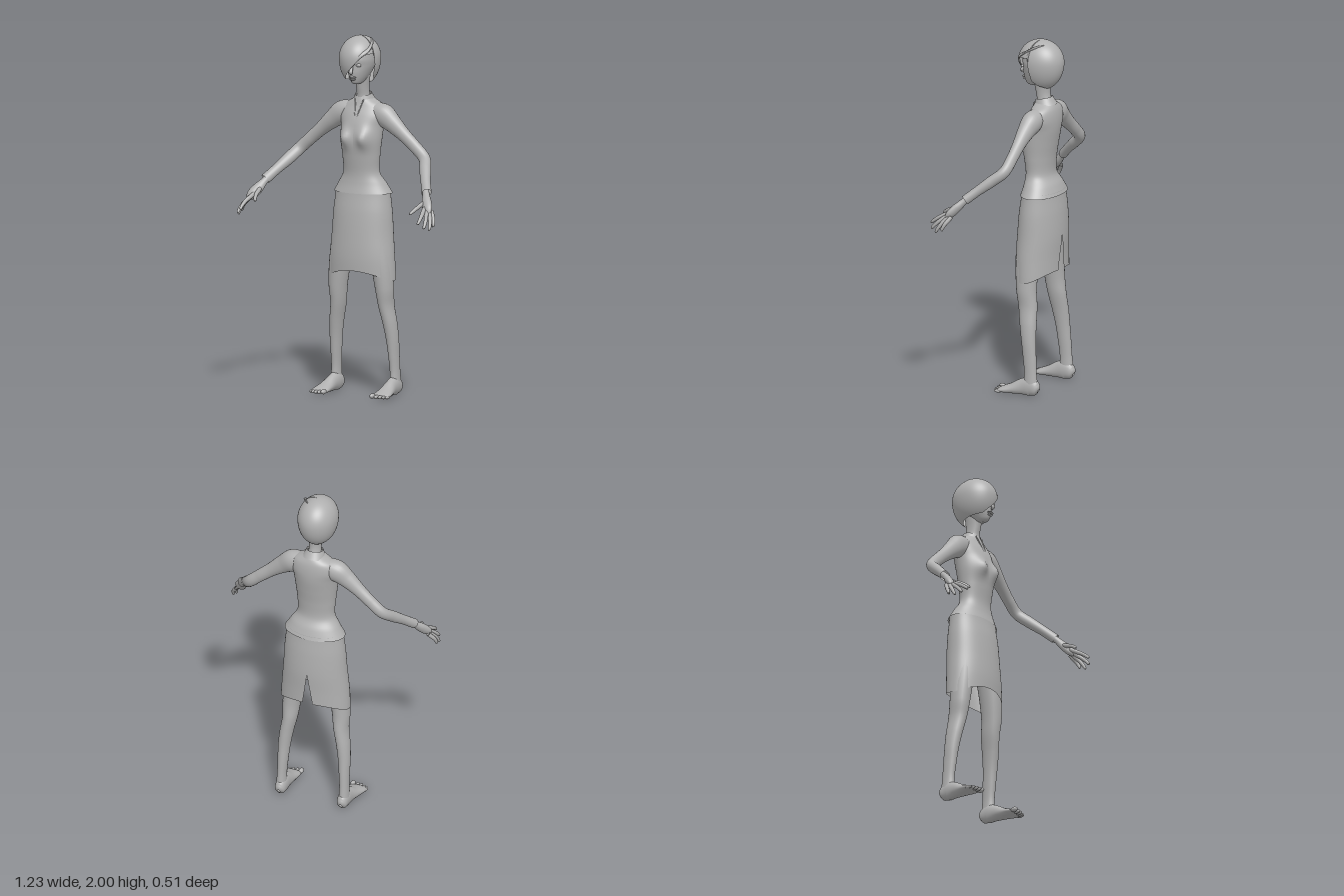
import * as THREE from 'three';
import { ParametricGeometry } from 'three/addons/geometries/ParametricGeometry.js';

const grey = new THREE.MeshStandardMaterial({ color: 0xb0b0b0, side: THREE.DoubleSide });
grey.name = 'clay grey';

const add = (parent, name, geometry) => {
  const mesh = new THREE.Mesh(geometry, grey);
  mesh.name = name;
  parent.add(mesh);
  return mesh;
};

// Smooth interpolation through a list of stations, v from 0 to 1
function sample(stations, v) {
  const n = stations.length - 1;
  const f = Math.min(Math.max(v, 0), 1) * n;
  const i = Math.min(Math.floor(f), n - 1), t = f - i;
  const [p0, p1, p2, p3] = [i - 1, i, i + 1, i + 2].map(k => stations[Math.min(Math.max(k, 0), n)]);
  return p1.map((b, k) => {
    const m1 = (p2[k] - p0[k]) / 2, m2 = (p3[k] - b) / 2, d = p2[k] - b;
    return b + t * (m1 + t * (3 * d - 2 * m1 - m2 + t * (m1 + m2 - 2 * d)));
  });
}

// Upright body from elliptical sections [y, centre x, half width, front z, back z]
function loft(stations, nu, nv, adjust) {
  return new ParametricGeometry((u, v, out) => {
    const [y, cx, w, zf, zb] = sample(stations, v), a = u * Math.PI * 2;
    out.set(cx + w * Math.sin(a), y, (zf + zb) / 2 + (zf - zb) / 2 * Math.cos(a));
    if (adjust) adjust(out);
  }, nu, nv);
}

// Limb along a path of [x, y, z, half width, half depth]; ref is the depth direction
function sweep(stations, ref, nu, nv, adjust) {
  const point = v => new THREE.Vector3(...sample(stations, v));
  return new ParametricGeometry((u, v, out) => {
    const s = sample(stations, v), a = u * Math.PI * 2;
    const T = point(Math.min(v + 0.01, 1)).sub(point(Math.max(v - 0.01, 0))).normalize();
    const S = T.clone().cross(ref).normalize(), N = S.clone().cross(T);
    out.set(s[0], s[1], s[2]).addScaledVector(S, s[3] * Math.sin(a)).addScaledVector(N, s[4] * Math.cos(a));
    if (adjust) adjust(out);
  }, nu, nv);
}

const UP = new THREE.Vector3(0, 1, 0);
const FRONT = new THREE.Vector3(0, 0, 1);

function ball(parent, name, x, y, z, rx, ry, rz) {
  const m = add(parent, name, new THREE.SphereGeometry(1, 16, 12));
  m.position.set(x, y, z);
  m.scale.set(rx, ry, rz);
  return m;
}

function makeHead() {
  const head = new THREE.Group();
  head.name = 'head';
  add(head, 'face', loft([
    [1.735, 0, 0.004, -0.06, -0.07], [1.74, 0, 0.024, -0.033, -0.11], [1.765, 0, 0.042, -0.02, -0.15],
    [1.8, 0, 0.06, -0.013, -0.19], [1.84, 0, 0.076, -0.014, -0.21], [1.88, 0, 0.082, -0.01, -0.22],
    [1.93, 0, 0.075, -0.03, -0.2], [1.97, 0, 0.03, -0.08, -0.15],
  ], 32, 28));
  add(head, 'nose', sweep([
    [0, 1.85, -0.014, 0.005, 0.004], [0, 1.825, -0.005, 0.008, 0.008],
    [0, 1.807, 0.004, 0.012, 0.01], [0, 1.797, -0.008, 0.004, 0.004],
  ], FRONT, 12, 10));
  ball(head, 'upperLip', 0, 1.778, -0.014, 0.023, 0.006, 0.011);
  ball(head, 'lowerLip', 0, 1.766, -0.016, 0.019, 0.006, 0.01);
  for (const s of [1, -1]) ball(head, 'eye', s * 0.035, 1.846, -0.024, 0.016, 0.01, 0.01);

  // Bob with a fringe swept over the right eye: hem height by angle round the head
  const hem = [[-180, 1.725], [-120, 1.74], [-60, 1.755], [-30, 1.765], [-12, 1.795], [8, 1.835],
    [28, 1.88], [50, 1.905], [76, 1.91], [84, 1.78], [100, 1.755], [140, 1.735], [180, 1.725]];
  const hemAt = d => {
    const i = Math.max(1, hem.findIndex(h => h[0] >= d));
    const [a, b] = [hem[i - 1], hem[i]];
    return a[1] + (b[1] - a[1]) * (d - a[0]) / (b[0] - a[0]);
  };
  add(head, 'hair', new ParametricGeometry((u, v, out) => {
    const deg = Math.min(180, -180 + 360 * u), a = deg * Math.PI / 180;
    const drop = hemAt(deg) - 1.875;
    const end = Math.acos(drop / (drop > 0 ? 0.125 : 0.162));
    const p = 0.01 + (end - 0.01) * (1 - v), c = Math.cos(p), r = Math.sin(p);
    const lift = deg > -100 && deg < 76 ? 1.02 : 1;
    out.set(-0.008 + 0.11 * lift * r * Math.sin(a), 1.875 + c * (c > 0 ? 0.125 : 0.162),
      -0.117 + 0.132 * lift * r * Math.cos(a));
  }, 90, 24));
  // Swept edge along the parting
  add(head, 'fringeEdge', sweep([
    [0.035, 1.985, -0.16, 0.003, 0.003], [0.07, 1.965, -0.11, 0.012, 0.006],
    [0.078, 1.93, -0.05, 0.012, 0.006], [0.05, 1.895, -0.006, 0.009, 0.005],
    [0.0, 1.83, 0.009, 0.003, 0.003],
  ], FRONT, 10, 24));
  return head;
}

function makeClothes() {
  const clothes = new THREE.Group();
  clothes.name = 'clothes';
  // Fitted jacket with bust and flared hem
  add(clothes, 'jacket', loft([
    [1.125, 0, 0.176, -0.03, -0.247], [1.18, 0, 0.142, -0.042, -0.225], [1.24, 0, 0.108, -0.045, -0.195],
    [1.33, 0, 0.111, -0.033, -0.198], [1.42, 0, 0.12, -0.022, -0.212], [1.5, 0, 0.126, -0.035, -0.225],
    [1.56, 0, 0.138, -0.055, -0.228], [1.61, 0, 0.118, -0.08, -0.222], [1.645, 0, 0.062, -0.093, -0.207],
    [1.665, 0, 0.036, -0.1, -0.19],
  ], 64, 50, p => {
    if (p.z < -0.1) return;
    const dx = (Math.abs(p.x) - 0.06) / 0.035, dy = (p.y - 1.435) / 0.05;
    p.z += 0.032 * Math.exp(-dx * dx - dy * dy);
  }));
  // Standing collar, open at the front
  const collar = add(clothes, 'collar', new THREE.LatheGeometry(
    [[0.066, -0.018], [0.056, 0.004], [0.047, 0.026]].map(p => new THREE.Vector2(...p)), 32, 0.4, Math.PI * 2 - 0.8));
  collar.position.set(0, 1.648, -0.145);
  collar.rotation.x = 0.2;
  // Front opening
  for (const s of [1, -1]) {
    add(clothes, 'frontEdge', sweep([
      [0, 1.46, -0.03, 0.002, 0.003], [s * 0.007, 1.54, -0.05, 0.003, 0.003],
      [s * 0.016, 1.6, -0.075, 0.003, 0.004], [s * 0.027, 1.645, -0.093, 0.003, 0.004],
    ], FRONT, 8, 12));
  }
  // Pencil skirt, curved hem and a slit at the back
  const sections = [[0.202, -0.008, -0.25], [0.195, -0.003, -0.252], [0.184, -0.008, -0.257],
    [0.176, -0.018, -0.252], [0.163, -0.035, -0.24]];
  add(clothes, 'skirt', new ParametricGeometry((u, v, out) => {
    const around = -Math.PI + 2 * Math.PI * u;
    const low = 0.64 + 0.057 * Math.pow(Math.abs(Math.cos(around)), 1.6);
    const y = low + (1.145 - low) * v;
    const gap = 0.15 * Math.max(0, 1 - (y - low) / 0.2);
    const a = around * (1 - gap / Math.PI);
    const [w, zf, zb] = sample(sections, (y - 0.64) / 0.505);
    out.set(w * Math.sin(a), y, (zf + zb) / 2 + (zf - zb) / 2 * Math.cos(a));
  }, 64, 30));
  return clothes;
}

function makeArm(s) {
  const arm = new THREE.Group();
  arm.name = s > 0 ? 'leftArm' : 'rightArm';
  const limb = (name, pts, nu, nv) => add(arm, name, sweep(pts.map(p => [s * p[0], ...p.slice(1)]), FRONT, nu, nv));
  limb('sleeve', [
    [0.07, 1.585, -0.145, 0.045, 0.05], [0.13, 1.56, -0.14, 0.064, 0.056], [0.19, 1.517, -0.135, 0.052, 0.045],
    [0.26, 1.46, -0.134, 0.039, 0.034], [0.33, 1.4, -0.134, 0.035, 0.03], [0.395, 1.34, -0.125, 0.034, 0.03],
    [0.435, 1.285, -0.065, 0.034, 0.03], [0.475, 1.23, 0.0, 0.029, 0.026], [0.513, 1.18, 0.055, 0.03, 0.026],
  ], 24, 48);
  limb('palm', [
    [0.49, 1.205, 0.025, 0.019, 0.018], [0.513, 1.172, 0.062, 0.02, 0.018], [0.535, 1.135, 0.095, 0.03, 0.022],
    [0.558, 1.1, 0.125, 0.03, 0.02], [0.57, 1.078, 0.142, 0.016, 0.01],
  ], 18, 18);
  // Knuckle and tip of each finger
  const fingers = [
    ['indexFinger', [0.545, 1.097, 0.147], [0.564, 1.032, 0.247]],
    ['middleFinger', [0.56, 1.087, 0.141], [0.592, 1.008, 0.228]],
    ['ringFinger', [0.572, 1.082, 0.13], [0.607, 0.995, 0.192]],
    ['littleFinger', [0.578, 1.08, 0.113], [0.609, 1.01, 0.152]],
    ['thumb', [0.52, 1.13, 0.105], [0.492, 1.078, 0.21]],
  ];
  for (const [name, a, b] of fingers) {
    const mid = (t, r, out = 0) => [a[0] + (b[0] - a[0]) * t + out, a[1] + (b[1] - a[1]) * t + out, a[2] + (b[2] - a[2]) * t, r, r];
    limb(name, [mid(-0.15, 0.011), mid(0.2, 0.012, 0.003), mid(0.5, 0.011, 0.006), mid(0.8, 0.0095, 0.004), mid(0.96, 0.007), mid(1, 0.001)], 10, 14);
  }
  return arm;
}

function makeLeg(s) {
  const leg = new THREE.Group();
  leg.name = s > 0 ? 'leftLeg' : 'rightLeg';
  add(leg, 'shinAndThigh', loft([
    [0.05, 0.187, 0.029, -0.125, -0.212], [0.13, 0.186, 0.026, -0.128, -0.203], [0.22, 0.183, 0.029, -0.118, -0.198],
    [0.31, 0.179, 0.034, -0.106, -0.192], [0.4, 0.169, 0.038, -0.09, -0.189], [0.5, 0.152, 0.042, -0.072, -0.184],
    [0.6, 0.147, 0.051, -0.056, -0.175], [0.75, 0.13, 0.06, -0.045, -0.18], [0.95, 0.1, 0.065, -0.045, -0.2],
  ].map(p => [p[0], s * p[1], ...p.slice(2)]), 24, 40));
  const onFloor = p => { p.y = Math.max(p.y, 0.002); };
  add(leg, 'foot', sweep([
    [0.185, 0.033, -0.217, 0.008, 0.01], [0.185, 0.038, -0.205, 0.027, 0.036], [0.185, 0.05, -0.165, 0.033, 0.055],
    [0.187, 0.043, -0.115, 0.035, 0.046], [0.191, 0.028, -0.06, 0.043, 0.031], [0.195, 0.018, -0.01, 0.051, 0.02],
    [0.196, 0.014, 0.015, 0.048, 0.013], [0.196, 0.012, 0.024, 0.035, 0.006],
  ].map(p => [s * p[0], ...p.slice(1)]), UP, 24, 32, onFloor));
  // Toes, from the big one outwards
  [[0.155, 0.04, 0.014], [0.181, 0.04, 0.0105], [0.203, 0.037, 0.01], [0.223, 0.031, 0.0095], [0.24, 0.021, 0.009]]
    .forEach(([x, z, r], i) => ball(leg, 'toe' + (i + 1), s * x, r + 0.001, z - 0.006, r, r, 0.022));
  return leg;
}

export function createModel() {
  const model = new THREE.Group();
  model.name = 'woman';
  model.add(makeHead());
  add(model, 'neck', loft([
    [1.62, 0, 0.045, -0.09, -0.195], [1.66, 0, 0.036, -0.097, -0.183],
    [1.71, 0, 0.034, -0.088, -0.175], [1.79, 0, 0.042, -0.07, -0.185],
  ], 24, 12));
  model.add(makeClothes());
  for (const s of [1, -1]) model.add(makeArm(s), makeLeg(s));
  return model;
}
